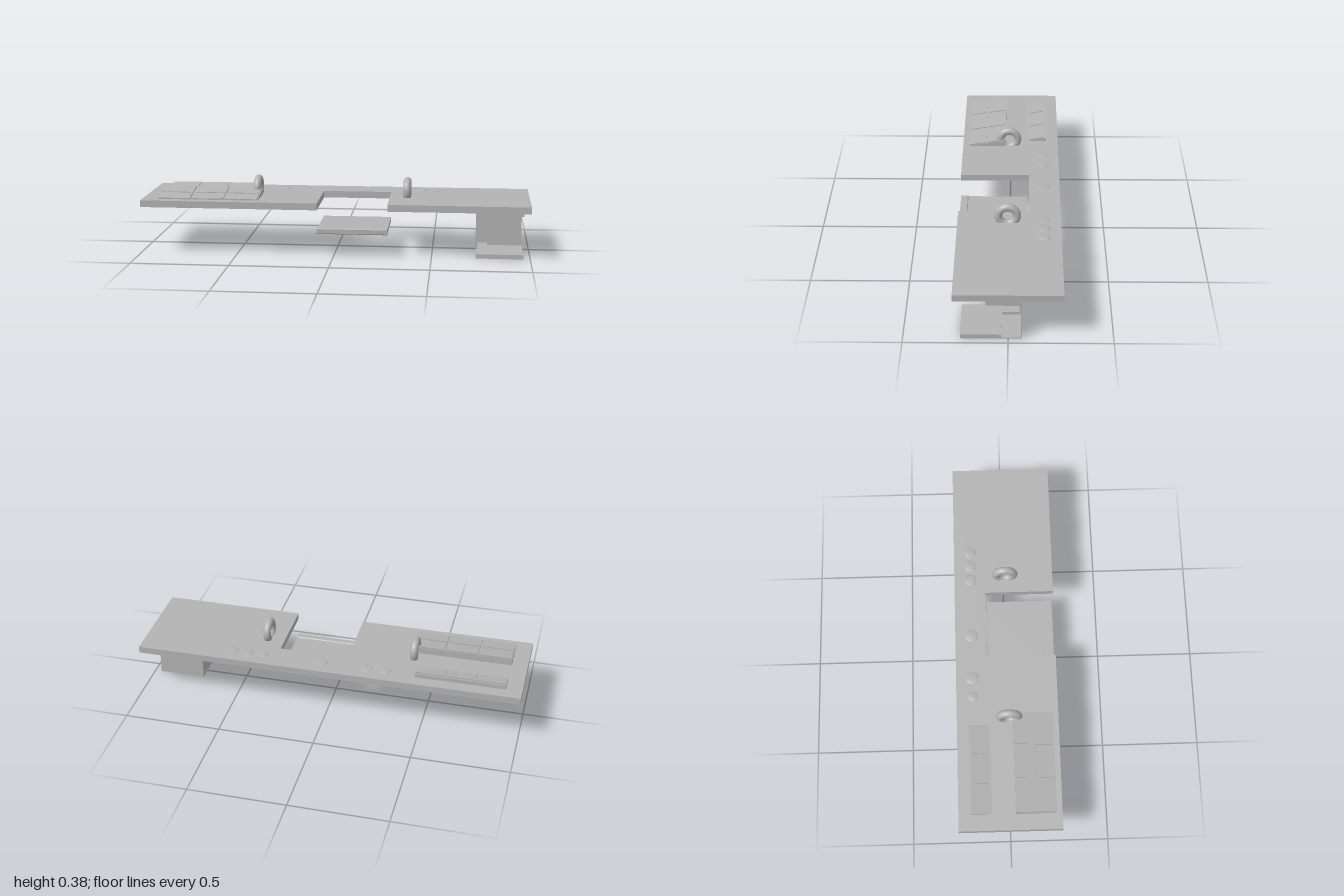
import * as THREE from 'three';

const grey = new THREE.MeshStandardMaterial({ color: 0xb2b2b2 });
grey.name = 'light grey';

function add(parent, name, geometry) {
  const mesh = new THREE.Mesh(geometry, grey);
  mesh.name = name;
  parent.add(mesh);
  return mesh;
}

// Box given by its limits on each axis
function box(parent, name, [x0, x1], [y0, y1], [z0, z1]) {
  const mesh = add(parent, name, new THREE.BoxGeometry(x1 - x0, y1 - y0, z1 - z0));
  mesh.position.set((x0 + x1) / 2, (y0 + y1) / 2, (z0 + z1) / 2);
  return mesh;
}

// Side profile of [z, y] points, swept from x0 to x1
function prism(parent, name, profile, x0, x1) {
  const shape = new THREE.Shape(profile.map(([z, y]) => new THREE.Vector2(-z, y)));
  const geometry = new THREE.ExtrudeGeometry(shape, { depth: x1 - x0, bevelEnabled: false });
  geometry.rotateY(Math.PI / 2).translate(x0, 0, 0);
  return add(parent, name, geometry);
}

// Sloped panel with rows of raised flat keys
function keyPanel(parent, name, { x0, x1, front, back, rise, rows, thick }) {
  const panel = new THREE.Group();
  panel.name = name;
  const top = 0.275, slope = rise / (front - back);
  prism(panel, 'wedge', [[front, top], [back, top], [back, top + rise]], x0, x1);
  const width = (x1 - x0) / 3;
  for (const [za, zb] of rows) {
    const ya = top + (front - za) * slope, yb = top + (front - zb) * slope;
    for (let i = 0; i < 3; i++) {
      prism(panel, 'key', [[za, ya], [zb, yb], [zb, yb + thick], [za, ya + thick]],
        x0 + i * width + 0.004, x0 + (i + 1) * width - 0.004);
    }
  }
  parent.add(panel);
}

export function createModel() {
  const model = new THREE.Group();
  model.name = 'desk';

  // Desktop with a notch open to the front
  const outline = [[-1, -0.26], [-0.085, -0.26], [-0.085, 0.1], [0.275, 0.1],
    [0.275, -0.26], [1, -0.26], [1, 0.26], [-1, 0.26]];
  const desktop = new THREE.ExtrudeGeometry(
    new THREE.Shape(outline.map(([x, y]) => new THREE.Vector2(x, y))),
    { depth: 0.035, bevelEnabled: false });
  desktop.rotateX(-Math.PI / 2).translate(0, 0.24, 0);
  add(model, 'desktop', desktop);

  // Low tray under the notch, with a chamfered front lip
  box(model, 'tray', [-0.085, 0.275], [0.12, 0.142], [-0.09, 0.224]);
  prism(model, 'trayLip', [[0.222, 0.121], [0.226, 0.117], [0.256, 0.117], [0.262, 0.121],
    [0.262, 0.143], [0.256, 0.147], [0.226, 0.147], [0.222, 0.143]], -0.085, 0.275);

  // Hanging shelf, open to the front and the left
  const shelf = new THREE.Group();
  shelf.name = 'shelf';
  model.add(shelf);
  const shelfX = [0.725, 0.965];
  box(shelf, 'shelfTop', shelfX, [0.22, 0.24], [-0.065, 0.228]);
  box(shelf, 'sideWall', [0.725, 0.735], [0.022, 0.22], [-0.065, 0.113]);
  box(shelf, 'backWall', [0.735, 0.965], [0.022, 0.22], [-0.065, -0.061]);
  box(shelf, 'backStrip', [0.735, 0.785], [0.022, 0.22], [-0.061, -0.053]);

  // Shelf base with a shallow recess at its back left corner
  box(shelf, 'base', shelfX, [0, 0.007], [-0.065, 0.228]);
  box(shelf, 'baseFront', shelfX, [0.007, 0.022], [0.031, 0.228]);
  box(shelf, 'baseSide', [0.725, 0.785], [0.007, 0.022], [-0.065, 0.031]);
  box(shelf, 'baseBack', [0.785, 0.965], [0.007, 0.022], [-0.065, -0.061]);

  // Sloped key panels
  keyPanel(model, 'frontKeyPanel', {
    x0: -0.918, x1: -0.396, front: 0.233, back: 0.027, rise: 0.033,
    rows: [[0.22, 0.135], [0.125, 0.03]], thick: 0.007,
  });
  keyPanel(model, 'backKeyPanel', {
    x0: -0.918, x1: -0.455, front: -0.093, back: -0.196, rise: 0.02,
    rows: [[-0.105, -0.183]], thick: 0.006,
  });

  // Upright rings sunk slightly into the desktop
  for (const x of [-0.42, 0.365]) {
    const ring = add(model, 'ring', new THREE.TorusGeometry(0.047, 0.02, 24, 48));
    ring.rotation.y = Math.PI / 2;
    ring.position.set(x, 0.309, 0.008);
  }

  // Very shallow domes along the back
  for (const [x, r] of [[-0.3, 0.025], [-0.2, 0.032], [0.035, 0.032],
    [0.35, 0.03], [0.43, 0.03], [0.51, 0.03]]) {
    const dome = add(model, 'dome',
      new THREE.SphereGeometry(r, 24, 8, 0, Math.PI * 2, 0, Math.PI / 2));
    dome.scale.y = 0.004 / r;
    dome.position.set(x, 0.275, -0.175);
  }

  return model;
}
